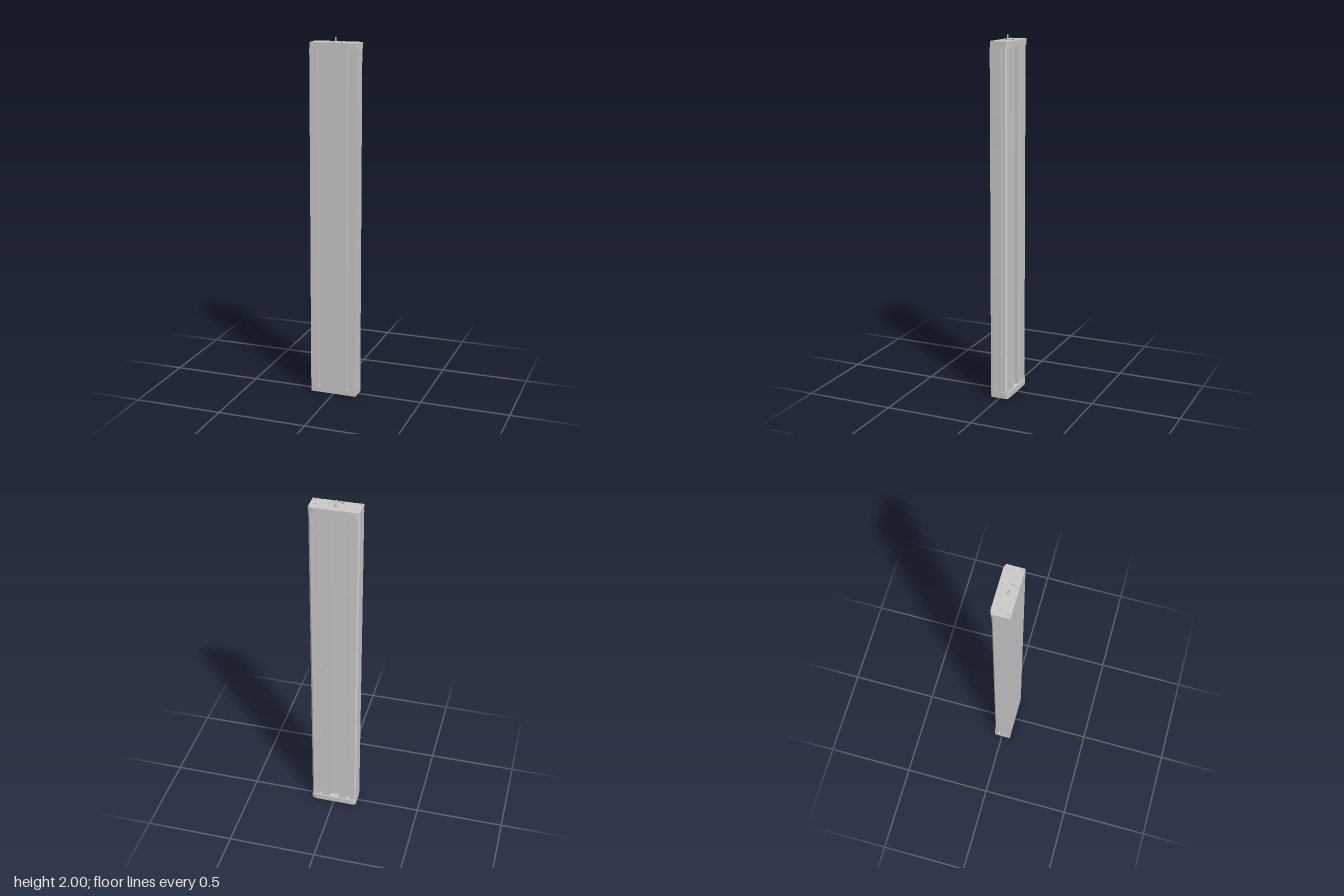
import * as THREE from 'three';

const TOP = 1.975, PLATE = 0.033, SHAFT_Z = 0.007;

export function createModel() {
  const model = new THREE.Group();
  const material = new THREE.MeshStandardMaterial({ color: 0xcccccc });

  const add = (name, geometry, x = 0, y = 0, z = 0) => {
    const mesh = new THREE.Mesh(geometry, material);
    mesh.name = name;
    mesh.position.set(x, y, z);
    model.add(mesh);
    return mesh;
  };
  // Closed outline from its +x half, given as [x, z] from front to back
  const mirroredShape = (half) => new THREE.Shape([
    ...half.map(([x, z]) => new THREE.Vector2(x, -z)),
    ...half.slice().reverse().map(([x, z]) => new THREE.Vector2(-x, -z)),
  ]);
  // Extrudes a plan outline upwards
  const extrudeUp = (shape, depth) => new THREE.ExtrudeGeometry(shape, {
    depth, bevelEnabled: false, curveSegments: 24,
  }).rotateX(-Math.PI / 2);
  const hole = (shape, x, z, r) => {
    shape.holes.push(new THREE.Path().absarc(x, -z, r, 0, Math.PI * 2, true));
  };
  const pairs = (list, fn) => list.forEach(([x, z]) => [-1, 1].forEach((s) => fn(s * x, z)));

  // Slotted rail body: front slots, side grooves, back slots and a central back channel
  const body = mirroredShape([
    [0.076, 0.051], [0.076, 0.024], [0.09, 0.024], [0.09, 0.051],
    [0.133, 0.051], [0.133, 0.026], [0.128, 0.026], [0.128, 0.015], [0.133, 0.015],
    [0.133, -0.012], [0.115, -0.012], [0.115, -0.024], [0.133, -0.024],
    [0.133, -0.036], [0.124, -0.043], [0.092, -0.043], [0.092, -0.022],
    [0.074, -0.022], [0.074, -0.043], [0.027, -0.043], [0.027, -0.018],
  ]);
  add('railBody', extrudeUp(body, TOP - 2 * PLATE), 0, PLATE, 0);

  // End plates with curved back corners and shallow front notches
  const plateShape = () => mirroredShape([
    [0.077, 0.051], [0.077, 0.049], [0.09, 0.049], [0.09, 0.051],
    [0.131, 0.051], [0.133, 0.049], [0.133, -0.043],
    [0.126, -0.0465], [0.116, -0.0495], [0.105, -0.051],
  ]);
  add('bottomEndPlate', extrudeUp(plateShape(), PLATE));

  const screws = [[0.106, -0.008], [0.12, 0.037]];
  const tappedHoles = [[0.029, -0.031], [0.029, 0.045]];
  const recess = 0.006;
  add('topEndPlate', extrudeUp(plateShape(), PLATE - recess), 0, TOP - PLATE, 0);
  const face = plateShape();
  hole(face, 0, SHAFT_Z, 0.04);
  pairs(screws, (x, z) => hole(face, x, z, 0.0075));
  pairs(tappedHoles, (x, z) => hole(face, x, z, 0.004));
  add('topPlateFace', extrudeUp(face, recess), 0, TOP - recess, 0);

  // Socket screws sunk in the top plate
  pairs(screws, (x, z) => {
    const head = new THREE.Shape().absarc(0, 0, 0.0062, 0, Math.PI * 2);
    const socket = new THREE.Path();
    for (let i = 0; i < 6; i++) {
      const a = -i * Math.PI / 3;
      socket[i ? 'lineTo' : 'moveTo'](0.0035 * Math.cos(a), 0.0035 * Math.sin(a));
    }
    socket.closePath();
    head.holes.push(socket);
    add('plateScrew', extrudeUp(head, 0.004), x, TOP - recess, z);
  });

  // Bearing collar and stepped drive shaft
  const profile = [
    [0, -0.006], [0.014, -0.006], [0.014, 0.001], [0.011, 0.001], [0.011, 0.004],
    [0.007, 0.004], [0.007, 0.008], [0.0045, 0.008], [0.0045, 0.024], [0.0035, 0.025], [0, 0.025],
  ];
  for (let i = 0; i < profile.length - 1; i++) {
    // One lathe per step keeps the edges sharp
    const points = [profile[i], profile[i + 1]].map(([r, y]) => new THREE.Vector2(r, y));
    add('driveShaft', new THREE.LatheGeometry(points, 32), 0, TOP, SHAFT_Z);
  }

  // Mounting screws along the floor of the back slots
  for (const y of [0.14, 0.5, 0.99, 1.48, 1.84]) {
    pairs([[0.083, -0.0235]], (x, z) => {
      add('mountingScrew', new THREE.CylinderGeometry(0.006, 0.006, 0.004, 20).rotateX(Math.PI / 2), x, y, z);
    });
  }
  return model;
}
